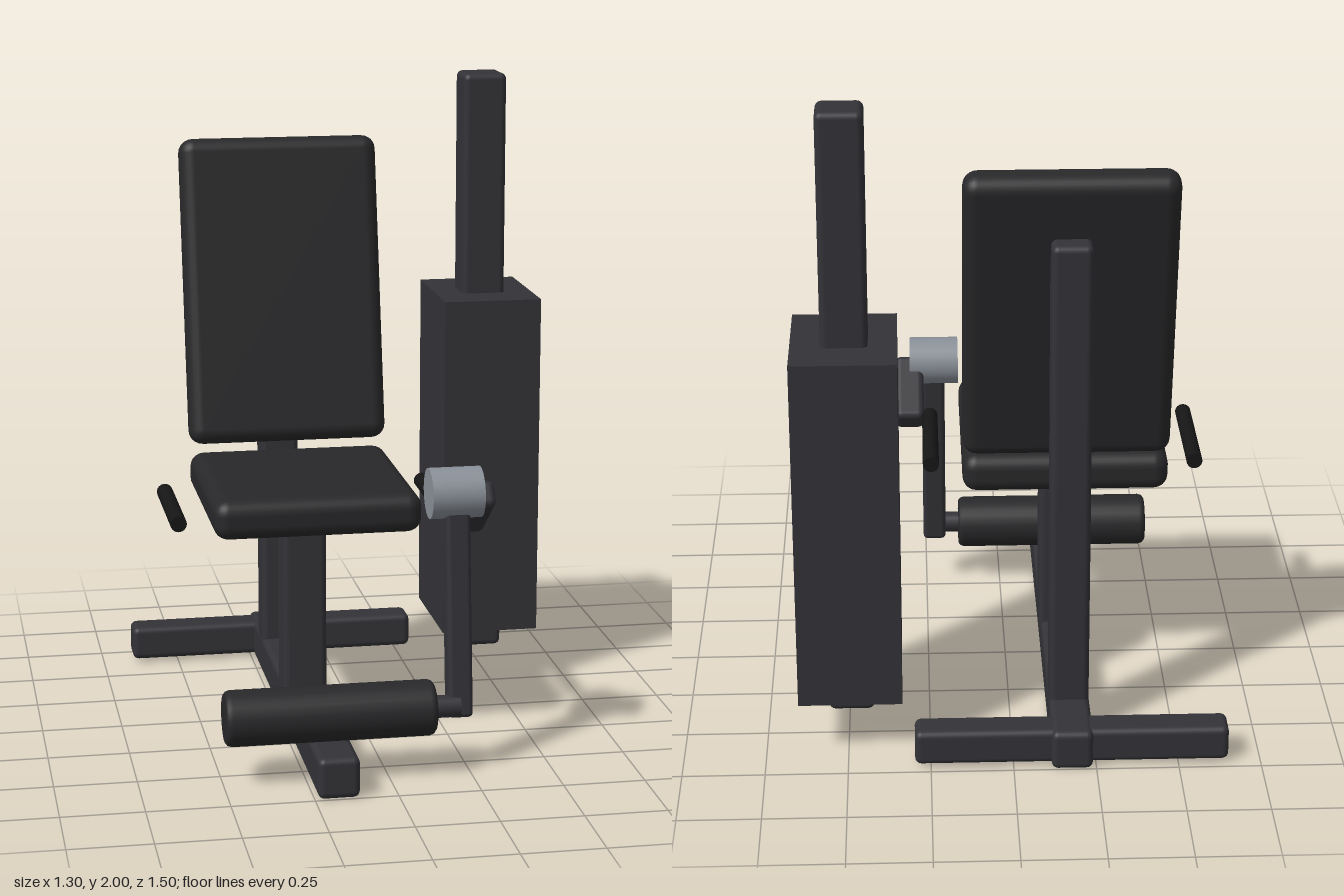
import * as THREE from 'three';
import { RoundedBoxGeometry } from 'three/addons/geometries/RoundedBoxGeometry.js';

const mat = (color) => new THREE.MeshStandardMaterial({ color });

export function createModel() {
  const model = new THREE.Group();
  model.name = 'legExtensionMachine';

  const frame = mat(0x333338);
  const pad = mat(0x28282a);
  const grip = mat(0x161617);
  const metal = mat(0x8a9098);

  const add = (name, geometry, material, x, y, z, rx = 0) => {
    const mesh = new THREE.Mesh(geometry, material);
    mesh.name = name;
    mesh.position.set(x, y, z);
    mesh.rotation.x = rx;
    model.add(mesh);
    return mesh;
  };
  // Rounded box given by its size
  const rbox = (w, h, d, r = 0.02) => new RoundedBoxGeometry(w, h, d, 3, r);
  // Cylinders lying along x or z
  const cylX = (r, l, n = 24) => new THREE.CylinderGeometry(r, r, l, n).rotateZ(Math.PI / 2);
  const cylZ = (r, l, n = 16) => new THREE.CylinderGeometry(r, r, l, n).rotateX(Math.PI / 2);

  const cx = -0.177; // centre line of the bench

  // Base frame and uprights
  add('baseBeam', rbox(0.125, 0.125, 1.505), frame, cx, 0.0625, -0.002);
  add('rearCrossBeam', rbox(0.95, 0.11, 0.108), frame, cx, 0.066, -0.678);
  add('seatPost', rbox(0.137, 0.64, 0.137), frame, cx, 0.4, 0.04);
  add('backPost', rbox(0.122, 1.53, 0.122), frame, cx, 0.837, -0.485);

  // Upholstery
  add('seat', rbox(0.635, 0.122, 0.68, 0.045), pad, cx, 0.76, 0.06);
  add('backrest', rbox(0.635, 0.975, 0.11, 0.045), pad, cx, 1.322, -0.36, -0.21);

  // Side handles
  for (const side of [-1, 1])
    add(side < 0 ? 'rightHandle' : 'leftHandle', cylZ(0.025, 0.395), grip, cx + side * 0.413, 0.73, 0.078);

  // Leg roller with softened ends, on a short axle
  const half = 0.3175;
  const profile = [[0, -half], [0.072, -half], [0.081, -half + 0.007], [0.085, -half + 0.02],
    [0.085, half - 0.02], [0.081, half - 0.007], [0.072, half], [0, half]]
    .map(([r, y]) => new THREE.Vector2(r, y));
  add('legRoller', new THREE.LatheGeometry(profile, 28).rotateZ(Math.PI / 2), pad, cx, 0.205, 0.565);
  add('rollerAxle', cylX(0.034, 0.14, 16), frame, 0.15, 0.205, 0.565);

  // Swing lever hanging from the pivot hub
  add('leverArm', rbox(0.075, 0.69, 0.075, 0.015), frame, 0.222, 0.51, 0.512, -0.108);
  add('pivotHub', cylX(0.077, 0.158), metal, 0.22, 0.843, 0.468);
  add('cableArm', rbox(0.092, 0.085, 0.235), frame, 0.3, 0.77, 0.375, -0.63);

  // Weight stack and its mast
  add('weightStack', new THREE.BoxGeometry(0.315, 1.11, 0.41), frame, 0.492, 0.73, -0.439);
  add('mast', rbox(0.14, 1.92, 0.14), frame, 0.49, 1.04, -0.439);

  return model;
}
